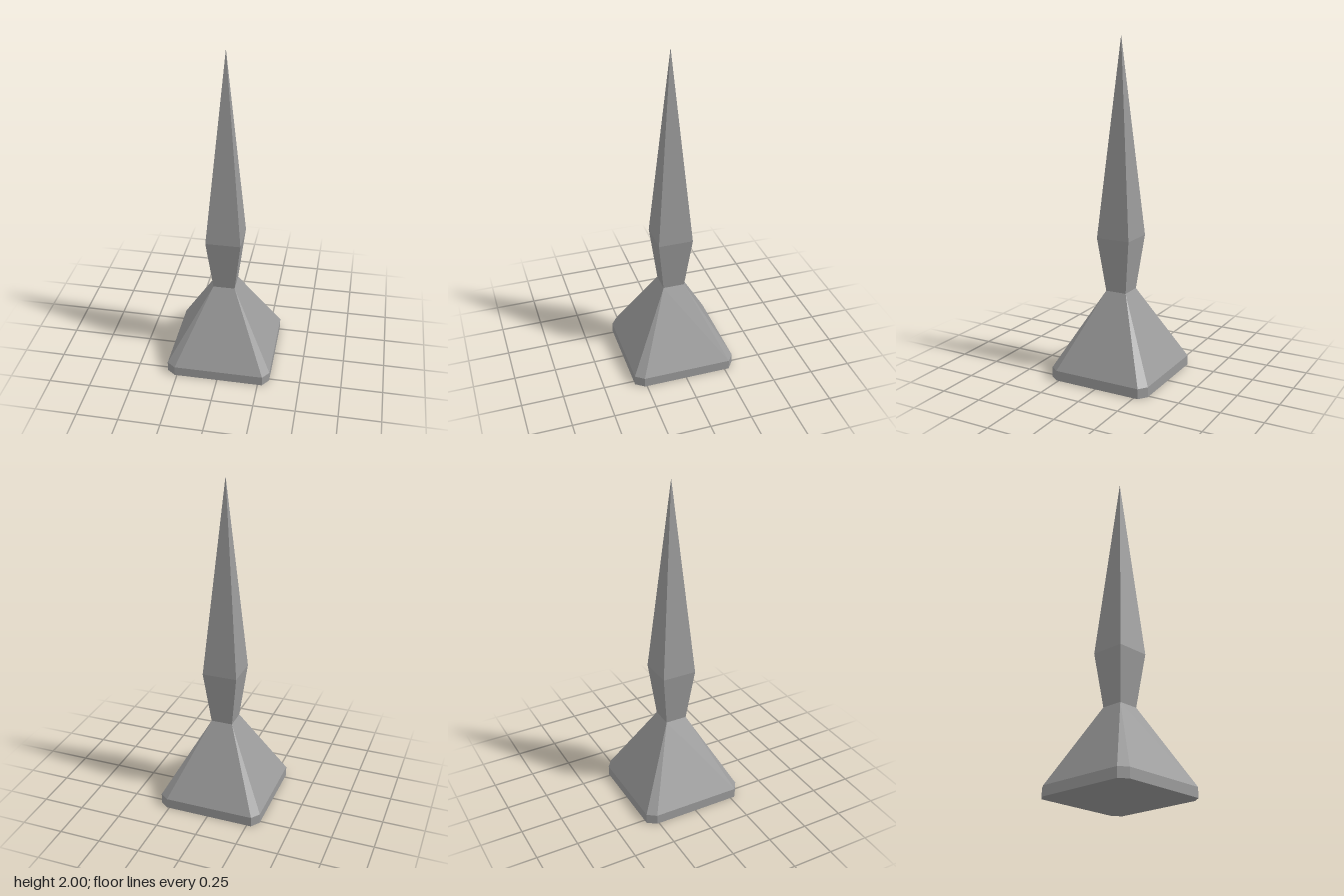
import * as THREE from 'three';

const material = new THREE.MeshStandardMaterial({ color: 0x9a9a9a, flatShading: true });

const BASE_TOP = 0.06, NECK_Y = 0.515, NECK = 0.065;
const SHOULDER_Y = 0.84, SHOULDER = 0.104, TIP_Y = 2;

// Repeat two points around the four corners; pairs may coincide (plain square)
function ring(y, p, q) {
  const points = [];
  for (let k = 0; k < 4; k++) {
    for (const [x, z] of [p, q]) {
      const [c, s] = [[1, 0], [0, 1], [-1, 0], [0, -1]][k];
      points.push(new THREE.Vector3(c * x - s * z, y, s * x + c * z));
    }
  }
  return points;
}

// Skin consecutive rings and close the underside, skipping collapsed triangles
function loft(rings) {
  const triangles = [];
  const add = (a, b, c) => {
    if (!a.equals(b) && !b.equals(c) && !c.equals(a)) triangles.push(a, b, c);
  };
  for (let r = 0; r < rings.length - 1; r++) {
    const lower = rings[r], upper = rings[r + 1];
    for (let i = 0; i < 8; i++) {
      const j = (i + 1) % 8;
      add(lower[i], upper[i], upper[j]);
      add(lower[i], upper[j], lower[j]);
    }
  }
  for (let i = 1; i < 7; i++) add(rings[0][0], rings[0][i], rings[0][i + 1]);
  const geometry = new THREE.BufferGeometry().setFromPoints(triangles);
  geometry.computeVertexNormals();
  return geometry;
}

// Square tapered block, given half widths and heights
function taper(name, top, bottom, y0, y1) {
  const geometry = new THREE.CylinderGeometry(
    top * Math.SQRT2, bottom * Math.SQRT2, y1 - y0, 4, 1, true, Math.PI / 4);
  geometry.translate(0, (y0 + y1) / 2, 0);
  const mesh = new THREE.Mesh(geometry, material);
  mesh.name = name;
  return mesh;
}

export function createModel() {
  const model = new THREE.Group();
  model.name = 'spike';

  // Chamfered plinth sloping up to the square neck; the chamfers are slightly skewed
  const p = [0.263, -0.315], q = [0.315, -0.277], n = [NECK, -NECK];
  const base = new THREE.Mesh(
    loft([ring(0, p, q), ring(BASE_TOP, p, q), ring(NECK_Y, n, n)]), material);
  base.name = 'base';
  model.add(base);

  // Flaring neck and long pointed spire
  model.add(taper('neck', SHOULDER, NECK, NECK_Y, SHOULDER_Y));
  model.add(taper('spire', 0, SHOULDER, SHOULDER_Y, TIP_Y));
  return model;
}
